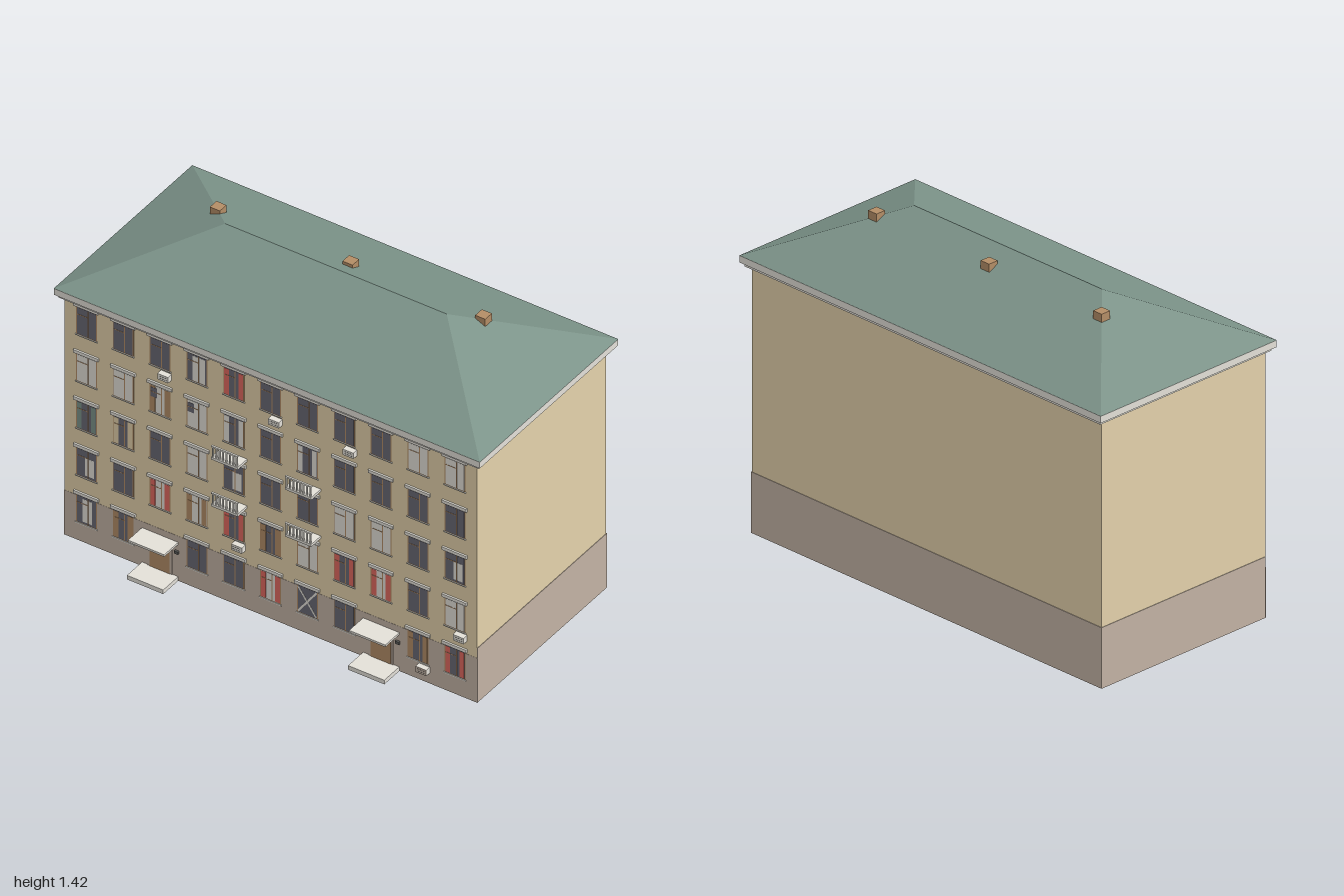
import * as THREE from 'three';

const mat = (name, color) => {
  const m = new THREE.MeshStandardMaterial({ color });
  m.name = name;
  return m;
};

export function createModel() {
  const wall = mat('wall plaster', 0xe3d1ab);
  const plinth = mat('plinth plaster', 0xc2b2a4);
  const roofM = mat('roof green', 0x7c9389);
  const light = mat('pale stone', 0xe3e0d8);
  const glass = mat('dark glass', 0x696874);
  const brown = mat('brown wood', 0xb38d66);
  const red = mat('red curtain', 0xe0685f);
  const dark = mat('dark metal', 0x5a5a58);

  const model = new THREE.Group();
  model.name = 'apartmentBlock';
  const FRONT = 0.415, STEP = 0.173, ROW = 0.2285;
  const MIDZ = -0.037;

  // Box given by its centre and size
  const box = (parent, name, m, x, y, z, w, h, d) => {
    const mesh = new THREE.Mesh(new THREE.BoxGeometry(w, h, d), m);
    mesh.name = name;
    mesh.position.set(x, y, z);
    parent.add(mesh);
    return mesh;
  };
  const group = (name, x, y, z) => {
    const g = new THREE.Group();
    g.name = name;
    g.position.set(x, y, z);
    model.add(g);
    return g;
  };

  // Walls and plinth (the plinth is lower on the front)
  box(model, 'walls', wall, 0, 0.58, -0.033, 1.936, 1.156, 0.896);
  box(model, 'plinth', plinth, 0, 0.132, -0.035, 1.94, 0.264, 0.896);
  box(model, 'frontPlinth', plinth, 0, 0.1085, FRONT, 1.94, 0.217, 0.0016);

  // Stepped cornice
  box(model, 'corniceLower', light, 0, 1.1615, MIDZ, 1.97, 0.012, 0.936);
  box(model, 'corniceNeck', light, 0, 1.169, MIDZ, 1.95, 0.006, 0.916);
  box(model, 'corniceUpper', light, 0, 1.186, MIDZ, 2, 0.03, 0.96);

  // Hipped roof
  const zf = 0.443, zb = -0.517, e = 1.2015, r = 1.42;
  const A = [-1, e, zf], B = [1, e, zf], C = [1, e, zb], D = [-1, e, zb];
  const P = [-0.52, r, MIDZ], Q = [0.52, r, MIDZ];
  const roofGeo = new THREE.BufferGeometry();
  roofGeo.setAttribute('position', new THREE.Float32BufferAttribute(
    [A, B, Q, A, Q, P, B, C, Q, C, D, P, C, P, Q, D, A, P, A, D, C, A, C, B].flat(), 3));
  roofGeo.computeVertexNormals();
  const roof = new THREE.Mesh(roofGeo, roofM);
  roof.name = 'roof';
  model.add(roof);

  // Chimneys
  for (const x of [-0.623, 0, 0.623]) box(model, 'chimney', brown, x, 1.374, -0.14, 0.047, 0.048, 0.046);

  // Windows: one letter for each, from the top floor down
  // D dark, L pale blind, H half blind, P small blind, p centre blind, X boarded,
  // Q pale blind with a dark corner, q the same with brown curtains,
  // R/B/G/T/W curtains over dark, r/b curtains over pale
  const floors = [
    'DDDHRDDDDLL',
    'LLqQWDWDDDD',
    'GTDLPDDLLDP',
    'PDrbRBLRrDL',
    'pB DDrXD BR',
  ];
  const curtains = { R: red, r: red, B: brown, b: brown, q: brown, G: roofM, T: wall, W: light };
  const W = 0.098, H = 0.136;
  const addWindow = (type, x, y) => {
    const g = group('window', x, y, FRONT);
    // Thin plates stacked in layers
    const plate = (name, m, px, py, w, h, layer) =>
      box(g, name, m, px, py, 0.0008 + layer * 0.0006, w, h, 0.001);
    plate('windowFrame', brown, 0, 0, W, H, 0);
    plate('windowPane', 'LQqrb'.includes(type) ? light : glass, 0, 0, W - 0.009, H - 0.009, 1);
    if (curtains[type]) {
      for (const s of [-1, 1]) plate('curtain', curtains[type], s * 0.033, 0, 0.022, H - 0.012, 2);
    }
    if (type === 'H') plate('blind', light, 0.01, -0.002, 0.058, H - 0.016, 2);
    if (type === 'P') plate('blind', light, 0.016, -0.012, 0.042, 0.085, 2);
    if (type === 'p') plate('blind', light, 0.004, 0, 0.045, 0.11, 2);
    if ('Qq'.includes(type)) plate('openPane', glass, -0.028, 0.03, 0.03, 0.045, 3);
    if (type === 'X') {
      for (const s of [-1, 1]) plate('crossBoard', light, 0, 0, 0.008, 0.148, 3 + s * 0.5).rotation.z = s * 0.62;
    } else {
      plate('mullion', brown, 0.008, 0, 0.004, H - 0.01, 4);
      plate('transom', brown, -0.018, 0.032, 0.048, 0.003, 4);
    }
    box(g, 'lintel', light, 0, H / 2 + 0.009, 0.004, 0.116, 0.015, 0.008);
    box(g, 'sill', light, 0, -H / 2 - 0.001, 0.002, 0.104, 0.005, 0.005);
  };
  floors.forEach((types, row) => [...types].forEach((type, col) => {
    if (type !== ' ') addWindow(type, (col - 5) * STEP, 1.069 - row * ROW);
  }));

  // Balconies with open sides
  for (const x of [-STEP, STEP]) {
    for (const y of [0.717, 0.489]) {
      const g = group('balcony', x, y, FRONT);
      box(g, 'balconySlab', light, 0, 0.006, 0.033, 0.124, 0.012, 0.068);
      box(g, 'handrail', light, 0, 0.063, 0.063, 0.124, 0.007, 0.008);
      for (let i = 0; i < 8; i++) box(g, 'baluster', light, -0.056 + i * 0.016, 0.036, 0.063, 0.006, 0.05, 0.006);
    }
  }

  // Entrances
  for (const x of [-3 * STEP, 3 * STEP]) {
    const g = group('entrance', x, 0, FRONT);
    box(g, 'doorstep', light, 0, 0.01, 0.052, 0.17, 0.02, 0.106);
    box(g, 'doorFrame', plinth, 0, 0.087, 0.002, 0.116, 0.148, 0.004);
    box(g, 'door', brown, 0, 0.088, 0.003, 0.094, 0.138, 0.005);
    box(g, 'canopy', light, 0, 0.182, 0.049, 0.17, 0.01, 0.098);
    box(g, 'lamp', dark, 0.08, 0.14, 0.005, 0.018, 0.013, 0.01);
  }

  // Air conditioners; the lowest has a plaster-coloured front
  const units = [[-0.49, 0.978], [0.03, 0.978], [0.38, 0.978], [-0.143, 0.294], [0.897, 0.294], [0.722, 0.065]];
  for (const [x, y] of units) {
    const g = group('airConditioner', x, y, FRONT);
    box(g, 'unitCase', light, 0, 0, 0.0125, 0.05, 0.028, 0.025);
    box(g, 'unitFront', y < 0.1 ? plinth : light, 0, 0, 0.0255, 0.05, 0.028, 0.001);
    for (const dy of [-0.005, 0.005]) box(g, 'unitSlot', dark, 0, dy, 0.026, 0.036, 0.0015, 0.001);
  }
  return model;
}
